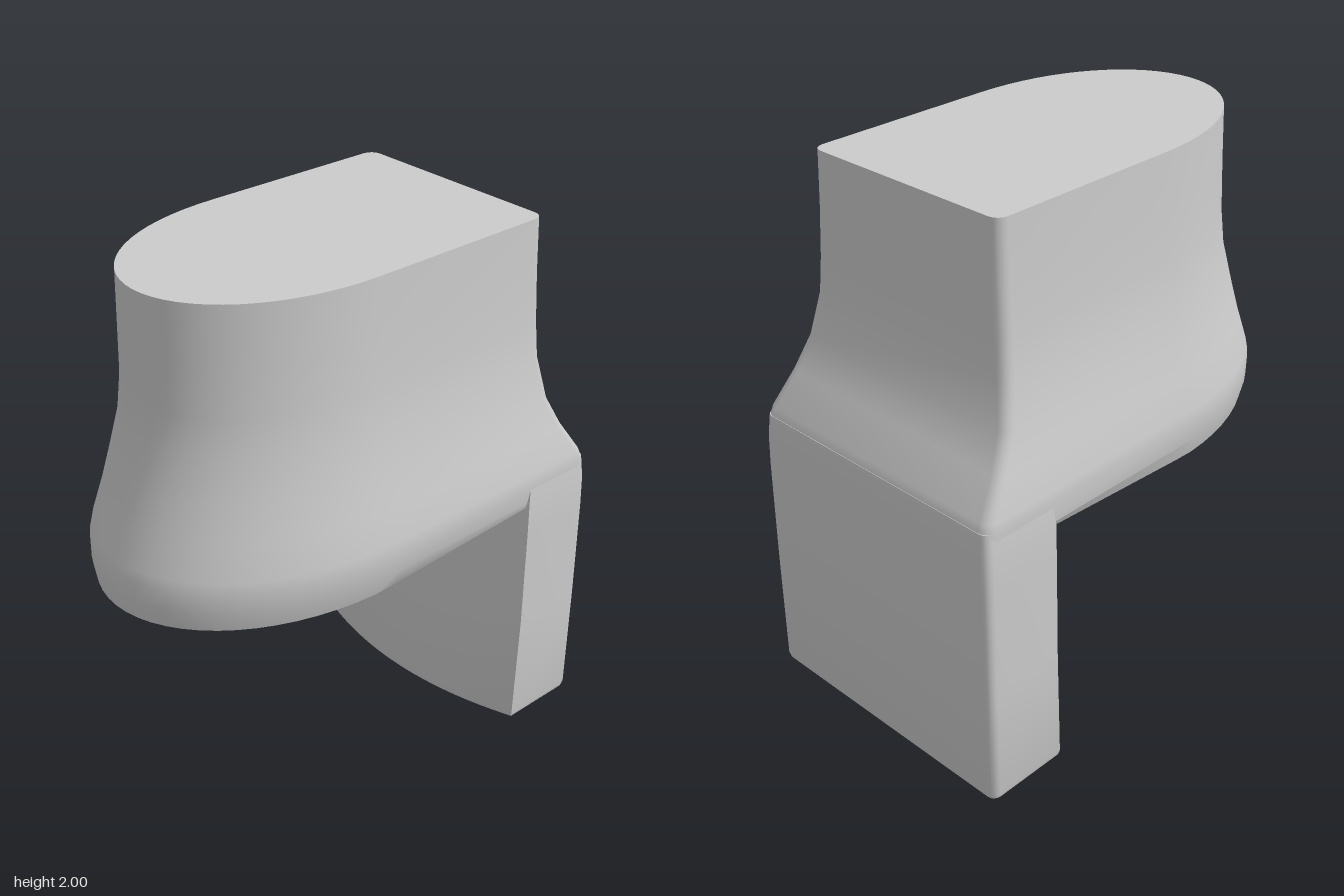
import * as THREE from 'three';
import { toCreasedNormals } from 'three/addons/utils/BufferGeometryUtils.js';

// D-shaped outline: bowed front, straight sides, back with small rounded corners
function outline(w, sideZ, frontZ, backZ, r, bow, backW = w) {
  const pts = [];
  const n = 32;
  for (let i = 0; i <= n; i++) {
    const t = (i / n) * Math.PI;
    pts.push([w * Math.cos(t), sideZ + (frontZ - sideZ) * Math.pow(Math.max(0, Math.sin(t)), bow)]);
  }
  const arc = [];
  for (let k = 0; k <= 4; k++) {
    const a = (k / 4) * Math.PI / 2;
    arc.push([-backW + r - r * Math.cos(a), backZ + r - r * Math.sin(a)]);
  }
  pts.push(...arc);
  pts.push(...arc.slice().reverse().map(([x, z]) => [-x, z]));
  return pts;
}

// Skin a stack of rings (bottom to top) and close both ends with fans
function loft(rings, bottomCentre, topCentre) {
  const n = rings[0].length;
  const pos = rings.flat(2);
  const index = [];
  for (let i = 0; i < rings.length - 1; i++) {
    for (let j = 0; j < n; j++) {
      const k = (j + 1) % n;
      const a = i * n + j, b = i * n + k, c = a + n, d = b + n;
      index.push(a, c, b, b, c, d);
    }
  }
  const low = rings.length * n, high = low + 1, top = (rings.length - 1) * n;
  pos.push(...bottomCentre, ...topCentre);
  for (let j = 0; j < n; j++) {
    const k = (j + 1) % n;
    index.push(low, j, k, high, top + k, top + j);
  }
  const g = new THREE.BufferGeometry();
  g.setAttribute('position', new THREE.Float32BufferAttribute(pos, 3));
  g.setIndex(index);
  return toCreasedNormals(g, 0.6);
}

export function createModel() {
  const group = new THREE.Group();
  const material = new THREE.MeshStandardMaterial({ color: 0xcccccc });
  const add = (name, geometry) => {
    const mesh = new THREE.Mesh(geometry, material);
    mesh.name = name;
    group.add(mesh);
  };

  // Flared body: y, half width, front z, back z
  const levels = [
    [0.9, 0.52, 0.86, -0.8],
    [0.97, 0.54, 0.87, -0.845],
    [1.05, 0.545, 0.868, -0.85],
    [1.09, 0.54, 0.857, -0.835],
    [1.21, 0.51, 0.815, -0.755],
    [1.33, 0.482, 0.78, -0.695],
    [1.49, 0.45, 0.735, -0.665],
    [1.62, 0.437, 0.72, -0.66],
    [1.8, 0.426, 0.718, -0.656],
    [2.0, 0.418, 0.715, -0.653],
  ];
  const bodyRings = levels.map(([y, w, front, back], i) =>
    outline(w, 0.08, front, back, 0.04, 0.95).map(([x, z]) => {
      // the sole edge rises gently toward the rear slab
      const lift = i === 0 ? 0.05 * THREE.MathUtils.smoothstep(-z, -0.2, 0.38) : 0;
      return [x, y + lift, z];
    }));
  add('body', loft(bodyRings, [0, 0.9, 0], [0, 2, 0]));

  // Rear slab with a bowed front face: y, half width, side z, front z, back z
  const slabLevels = [
    [0, 0.555, -0.545, -0.435, -0.855],
    [0.02, 0.56, -0.54, -0.43, -0.86],
    [0.45, 0.558, -0.55, -0.455, -0.86],
    [0.85, 0.553, -0.55, -0.465, -0.858],
    [0.97, 0.55, -0.55, -0.465, -0.855],
    [1.06, 0.54, -0.56, -0.48, -0.848],
  ];
  const slabRings = slabLevels.map(([y, w, side, front, back]) =>
    outline(w, side, front, back, 0.03, 2).map(([x, z]) => [x, y, z]));
  add('rearSlab', loft(slabRings, [0, 0, -0.65], [0, 1.06, -0.65]));

  // Wedge filling the corner between sole and slab
  const profile = new THREE.Shape();
  profile.moveTo(0.34, 0.905);
  profile.lineTo(0.48, 0.84);
  profile.lineTo(0.55, 0.84);
  profile.lineTo(0.55, 0.96);
  profile.lineTo(0.34, 0.96);
  const wedge = new THREE.ExtrudeGeometry(profile, { depth: 0.76, bevelEnabled: false });
  wedge.rotateY(Math.PI / 2);
  wedge.translate(-0.38, 0, 0);
  add('cornerWedge', wedge);

  return group;
}
